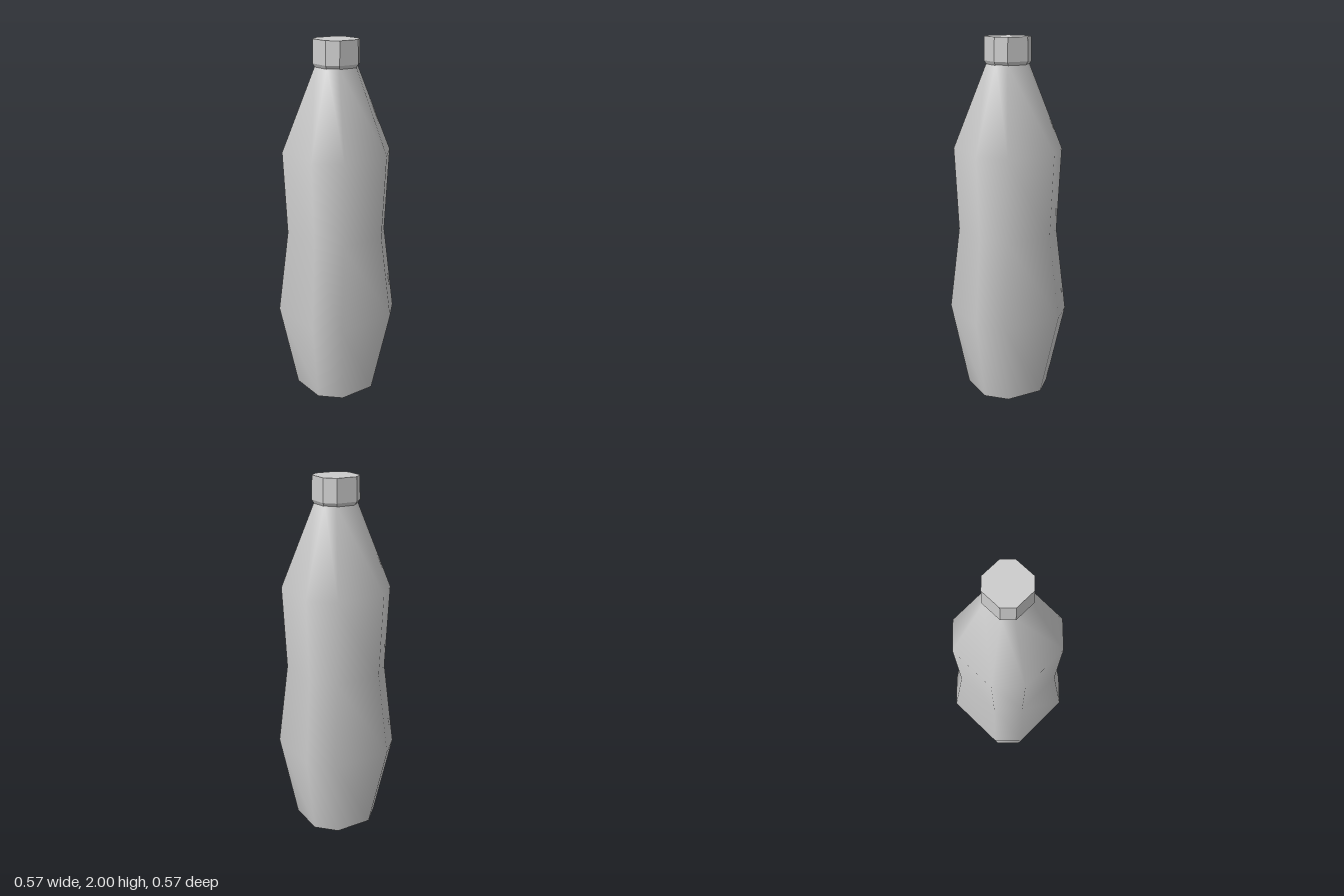
import * as THREE from 'three';

// Chamfered-square loop: h = half width, c = where each flat side ends
const octagon = (h, c) => [[h, -c], [h, c], [c, h], [-c, h], [-h, c], [-h, -c], [-c, -h], [c, -h]];

// Skin a stack of [y, halfWidth, corner] sections, smooth or faceted
function loft(sections, flat) {
  const pos = [], index = [];
  sections.forEach(([y, h, c], j) => {
    octagon(h, c).forEach(([x, z]) => pos.push(x, y, z));
    if (j === 0) return;
    for (let i = 0; i < 8; i++) {
      const n = (i + 1) % 8, lo = (j - 1) * 8, hi = j * 8;
      index.push(lo + i, hi + i, hi + n, lo + i, hi + n, lo + n);
    }
  });
  let geo = new THREE.BufferGeometry();
  geo.setAttribute('position', new THREE.Float32BufferAttribute(pos, 3));
  geo.setIndex(index);
  if (flat) geo = geo.toNonIndexed();
  geo.computeVertexNormals();
  return geo;
}

// Flat octagonal end face, turned up (+1) or down (-1)
function endFace([y, h, c], up) {
  const shape = new THREE.Shape(octagon(h, c).map(([x, z]) => new THREE.Vector2(x, z)));
  const geo = new THREE.ShapeGeometry(shape);
  geo.rotateX(-up * Math.PI / 2);
  geo.translate(0, y, 0);
  return geo;
}

export function createModel() {
  const group = new THREE.Group();
  const grey = new THREE.MeshStandardMaterial({ color: 0xcccccc });
  grey.name = 'light grey';

  const add = (name, geo) => {
    const mesh = new THREE.Mesh(geo, grey);
    mesh.name = name;
    group.add(mesh);
  };

  // Bottle body: narrow foot, belly, waist, shoulder, neck
  const body = [
    [0, 0.205, 0.105],
    [0.475, 0.284, 0.169],
    [0.945, 0.24, 0.13],
    [1.405, 0.26, 0.139],
    [1.86, 0.1, 0.055],
  ];
  add('body', loft(body, false));
  add('base', endFace(body[0], -1));

  // Faceted cap with a bevelled lower rim
  const cap = [
    [1.85, 0.098, 0.05],
    [1.875, 0.111, 0.06],
    [2, 0.109, 0.058],
  ];
  add('cap', loft(cap, true));
  add('capTop', endFace(cap[2], 1));
  add('capUnderside', endFace(cap[0], -1));

  return group;
}
